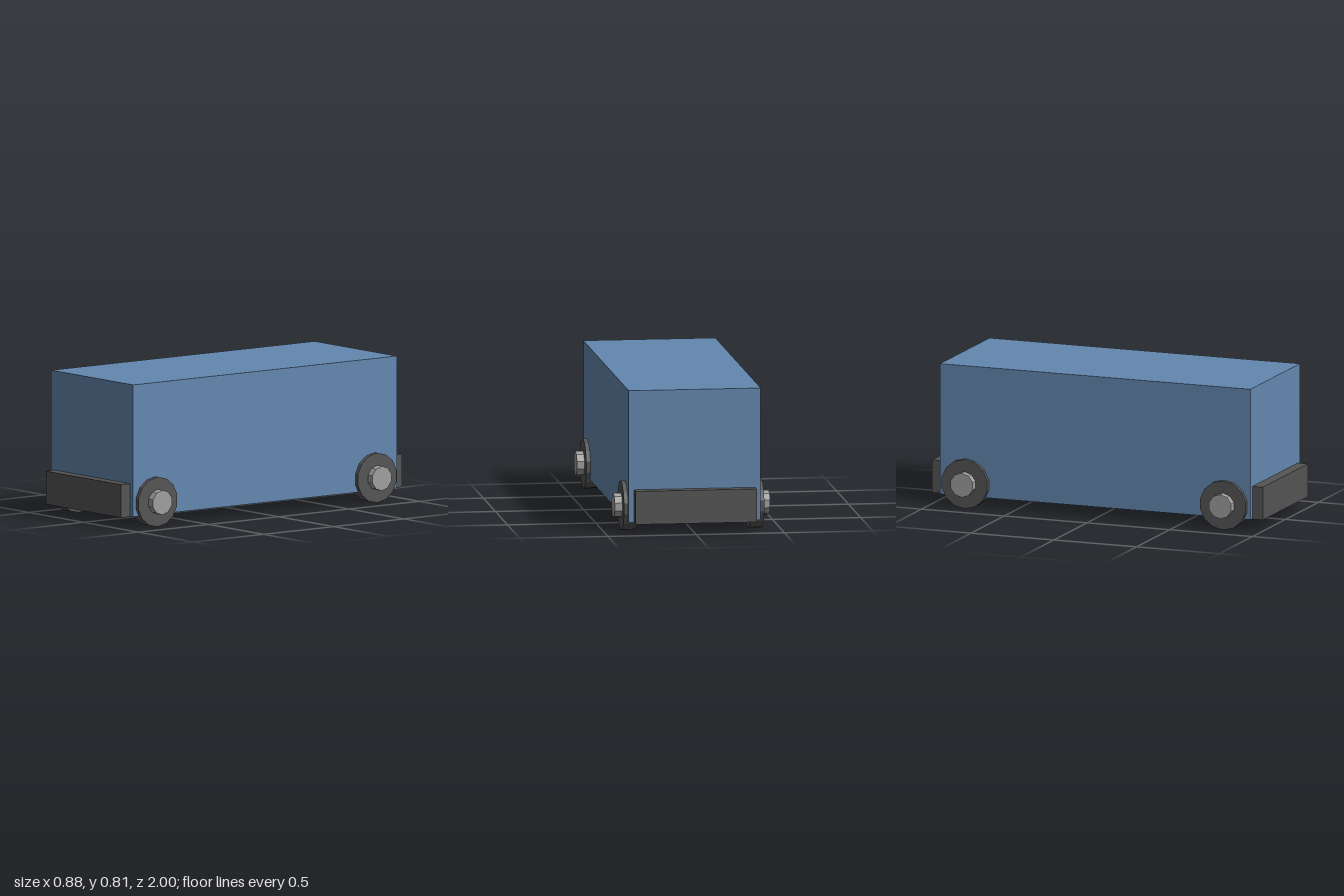
import * as THREE from 'three';

const flat = (name, color) => {
  const m = new THREE.MeshStandardMaterial({ color });
  m.name = name;
  return m;
};

export function createModel() {
  const blue = flat('body blue', 0x6488b0);
  const dark = flat('dark grey', 0x555555);
  const silver = flat('hub grey', 0xa0a0a0);
  const van = new THREE.Group();
  van.name = 'van';

  const add = (name, geometry, material, parent = van) => {
    const mesh = new THREE.Mesh(geometry, material);
    mesh.name = name;
    parent.add(mesh);
    return mesh;
  };

  // Box body
  add('body', new THREE.BoxGeometry(0.748, 0.748, 1.876), blue).position.y = 0.441;

  // Chassis slab, its ends standing out as bumpers
  add('chassis', new THREE.BoxGeometry(0.686, 0.188, 2), dark).position.y = 0.158;

  // Faceted drum lying along x, with one corner pointing up
  const drum = (radius, length, sides) => {
    const g = new THREE.CylinderGeometry(radius, radius, length, sides)
      .rotateZ(Math.PI / 2)
      .rotateX(sides % 4 === 2 ? Math.PI / 2 : 0);
    // Rotate the ring so a corner sits at the highest point
    const p = g.attributes.position;
    let top = 0;
    for (let i = 1; i < p.count; i++) if (p.getY(i) > p.getY(top)) top = i;
    g.rotateX(Math.atan2(-p.getZ(top), p.getY(top)));
    const faceted = g.toNonIndexed();
    faceted.computeVertexNormals();
    return faceted;
  };
  const tyre = drum(0.141, 0.075, 14);
  const hub = drum(0.07, 0.09, 10);

  // Four wheels with protruding hubs
  for (const side of [1, -1]) {
    for (const end of [1, -1]) {
      const wheel = new THREE.Group();
      wheel.name = `${end > 0 ? 'front' : 'rear'}${side > 0 ? 'Left' : 'Right'}Wheel`;
      wheel.position.set(side * 0.36, 0.141, end * 0.781);
      add('tyre', tyre, dark, wheel);
      add('hub', hub, silver, wheel).position.set(side * 0.035, 0.001, 0);
      van.add(wheel);
    }
  }
  return van;
}
